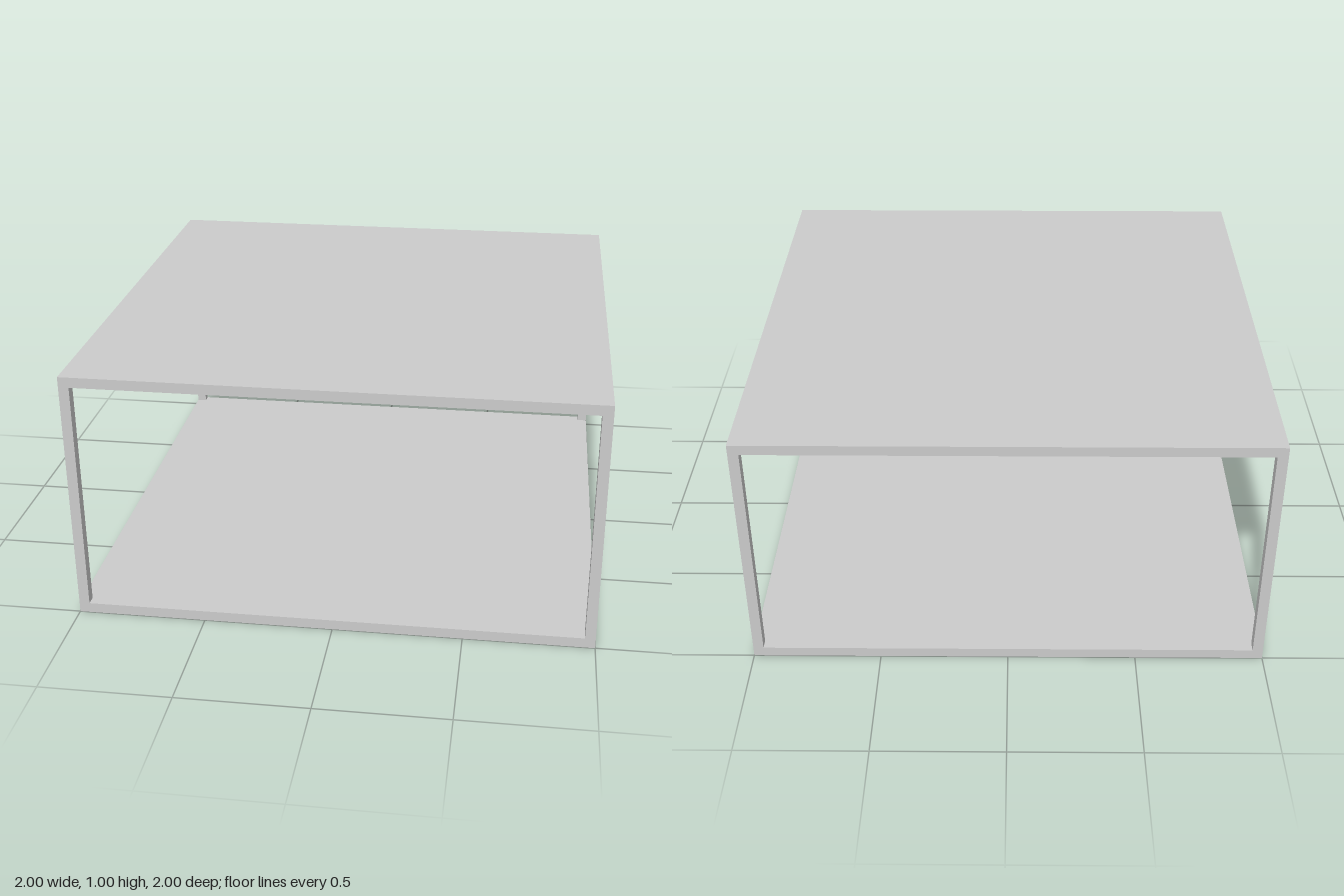
import * as THREE from 'three';

const SIZE = 2, HEIGHT = 1, T = 0.04; // footprint, overall height, board and post thickness

export function createModel() {
  const model = new THREE.Group();
  model.name = 'openTable';
  const material = new THREE.MeshStandardMaterial({ color: 0xcccccc });

  const addBox = (name, w, h, d, x, y, z) => {
    const mesh = new THREE.Mesh(new THREE.BoxGeometry(w, h, d), material);
    mesh.name = name;
    mesh.position.set(x, y, z);
    model.add(mesh);
  };

  // Square top and bottom boards
  addBox('topBoard', SIZE, T, SIZE, 0, HEIGHT - T / 2, 0);
  addBox('bottomBoard', SIZE, T, SIZE, 0, T / 2, 0);

  // Slim corner posts between the boards
  const offset = (SIZE - T) / 2;
  for (const [side, sx] of [['Left', 1], ['Right', -1]]) {
    for (const [end, sz] of [['front', 1], ['back', -1]]) {
      addBox(`${end}${side}Post`, T, HEIGHT - 2 * T, T, sx * offset, HEIGHT / 2, sz * offset);
    }
  }

  return model;
}
